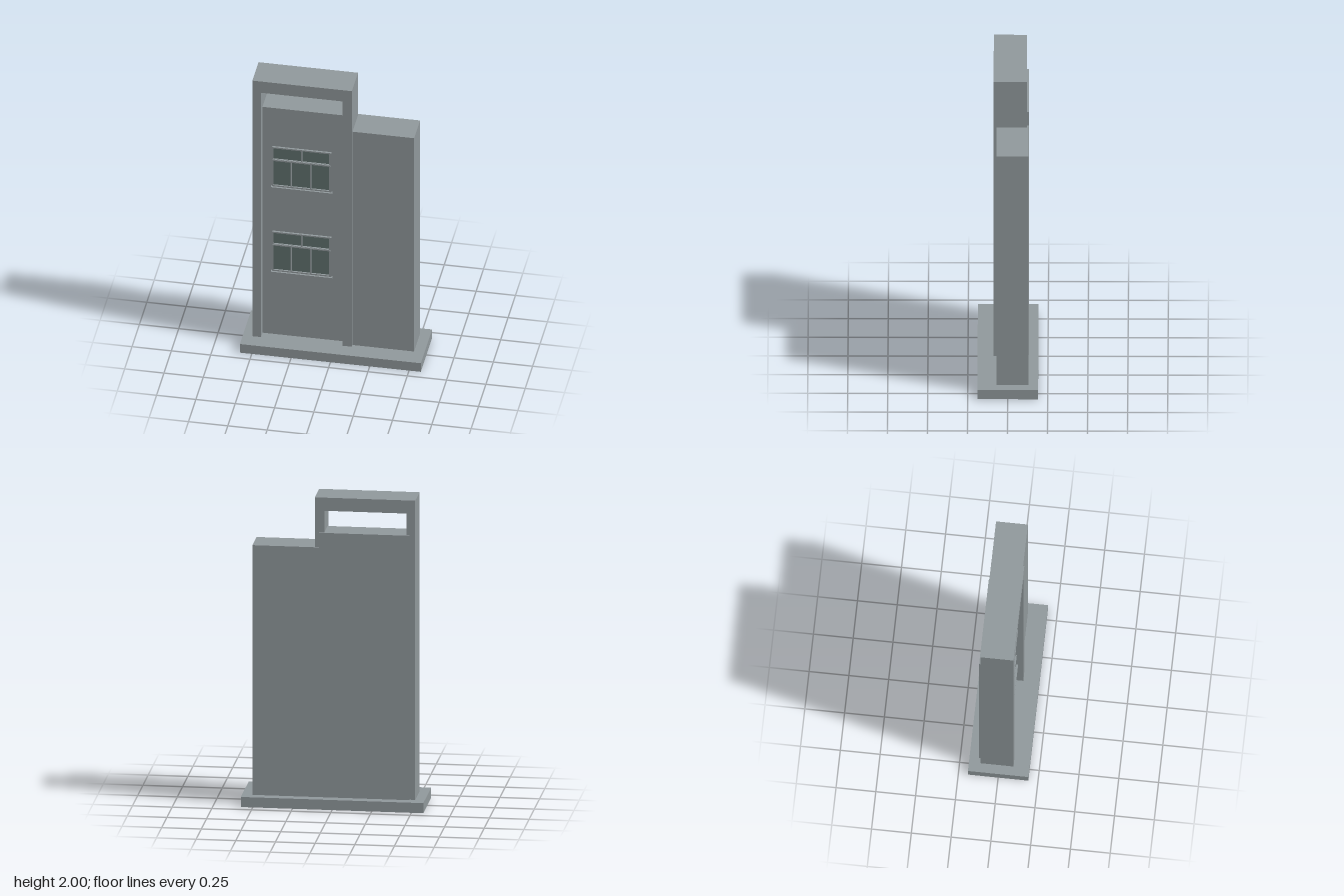
import * as THREE from 'three';

export function createModel() {
  const model = new THREE.Group();
  model.name = 'building';
  const concrete = new THREE.MeshStandardMaterial({ name: 'concrete grey', color: 0x90989b });
  const glass = new THREE.MeshStandardMaterial({ name: 'window glass', color: 0x60706e });

  // Box given by its limits on each axis
  function box(name, parent, material, [x0, x1], [y0, y1], [z0, z1]) {
    const mesh = new THREE.Mesh(new THREE.BoxGeometry(x1 - x0, y1 - y0, z1 - z0), material);
    mesh.position.set((x0 + x1) / 2, (y0 + y1) / 2, (z0 + z1) / 2);
    mesh.name = name;
    parent.add(mesh);
    return mesh;
  }

  function rect(target, x0, x1, y0, y1) {
    target.moveTo(x0, y0);
    target.lineTo(x1, y0);
    target.lineTo(x1, y1);
    target.lineTo(x0, y1);
    target.closePath();
    return target;
  }

  function extrude(name, parent, shape, z0, z1) {
    const geometry = new THREE.ExtrudeGeometry(shape, { depth: z1 - z0, bevelEnabled: false });
    const mesh = new THREE.Mesh(geometry, concrete);
    mesh.position.z = z0;
    mesh.name = name;
    parent.add(mesh);
  }

  // Plinth
  box('base', model, concrete, [-0.575, 0.575], [0, 0.065], [-0.19, 0.19]);

  // Main wall and lower side wing share one flush back face
  const wall = new THREE.Shape();
  rect(wall, -0.48, 0.09, 0.065, 1.775);
  extrude('mainWall', model, wall, -0.13, 0.04);
  box('sideWing', model, concrete, [0.09, 0.51], [0.065, 1.68], [-0.13, 0.07]);

  // Tall portal: two legs and a lintel, open above the wall
  const portal = new THREE.Shape();
  [[-0.515, 0.065], [-0.46, 0.065], [-0.46, 1.915], [0.058, 1.915],
    [0.058, 0.065], [0.118, 0.065], [0.118, 2], [-0.515, 2]]
    .forEach(([x, y], i) => (i ? portal.lineTo(x, y) : portal.moveTo(x, y)));
  portal.closePath();
  extrude('portalFrame', model, portal, -0.118, 0.09);

  // Window panes: two above the transom, three below; y from the window bottom
  const panes = [
    [-0.388, -0.213, 0.21, 0.291], [-0.206, -0.034, 0.21, 0.291],
    [-0.388, -0.278, 0.013, 0.197], [-0.272, -0.155, 0.013, 0.197], [-0.149, -0.034, 0.013, 0.197],
  ];
  for (const [name, y] of [['lowerWindow', 0.547], ['upperWindow', 1.187]]) {
    const win = new THREE.Group();
    win.name = name;
    win.position.y = y;
    const frame = rect(new THREE.Shape(), -0.397, -0.02, 0, 0.3);
    for (const [x0, x1, y0, y1] of panes) {
      frame.holes.push(rect(new THREE.Path(), x0, x1, y0, y1));
      box('windowPane', win, glass, [x0, x1], [y0, y1], [0.039, 0.043]);
    }
    extrude('windowFrame', win, frame, 0.039, 0.053);
    box('transom', win, concrete, [-0.392, -0.026], [0.199, 0.208], [0.05, 0.058]);
    box('windowSill', win, concrete, [-0.403, -0.014], [-0.009, 0.004], [0.039, 0.065]);
    model.add(win);
  }

  return model;
}
